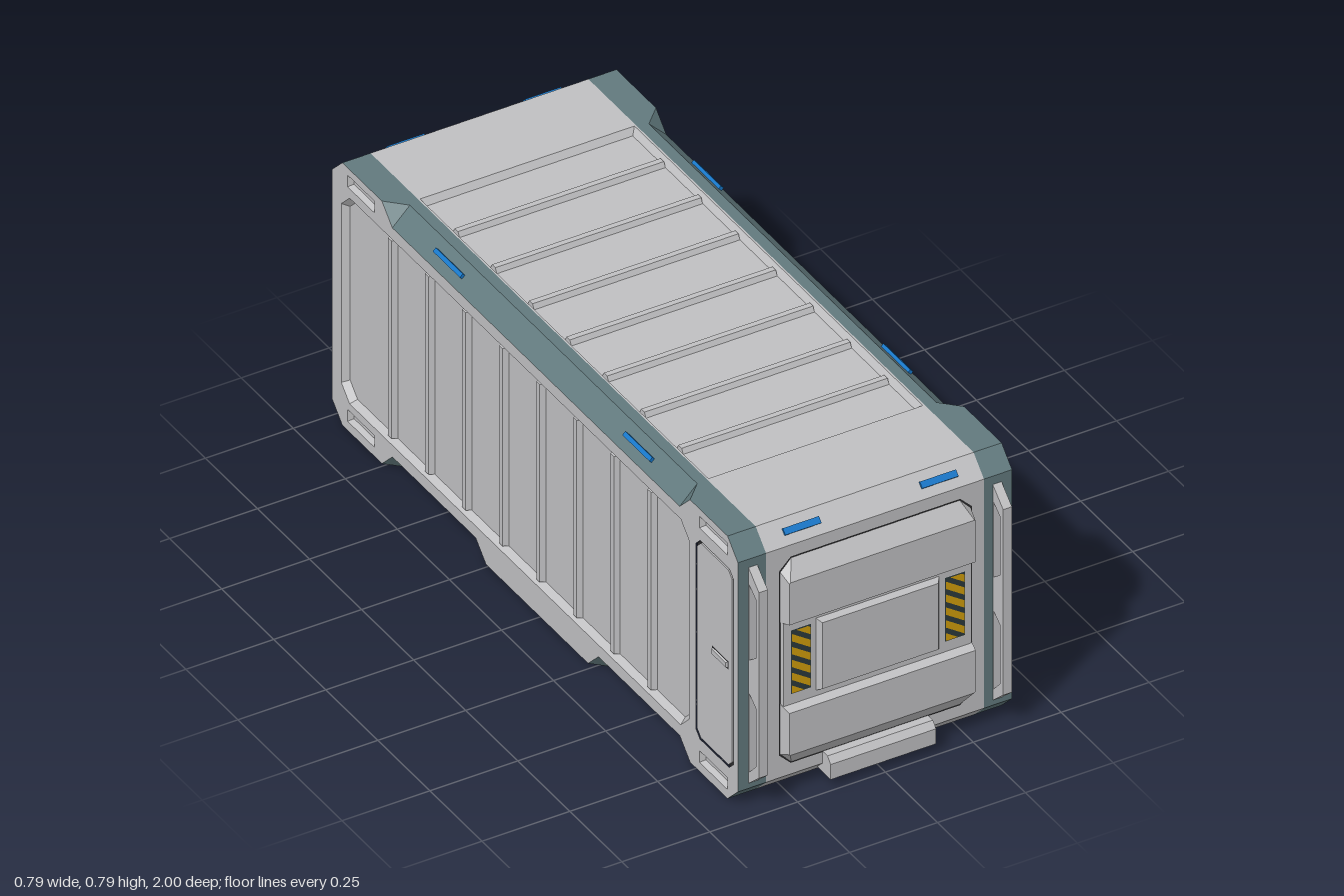
import * as THREE from 'three';

const paint = (name, color) => Object.assign(new THREE.MeshStandardMaterial({ color }), { name });

export function createModel() {
  const grey = paint('light grey hull', 0xc0c0c2);
  const teal = paint('slate teal trim', 0x627a7e);
  const blue = paint('blue lamp', 0x1677c8);
  const yellow = paint('hazard yellow', 0xd29e0a);
  const dark = paint('hazard dark', 0x2c3a3c);
  const seam = paint('seam black', 0x2c2c2e);

  const group = new THREE.Group();
  const W = 0.39, H = 0.785, C = 0.05, F = 0.95, B = -1, P = 0.31;
  const V = (x, y, z) => new THREE.Vector3(x, y, z);

  // Places a flat-shaded part; reverses corners when the frame is mirrored
  function add(name, mat, geo, m = new THREE.Matrix4()) {
    const g = geo.index ? geo.toNonIndexed() : geo;
    g.applyMatrix4(m);
    if (m.determinant() < 0) {
      const p = g.attributes.position;
      for (let i = 0; i < p.count; i += 3) {
        const a = V().fromBufferAttribute(p, i + 1), b = V().fromBufferAttribute(p, i + 2);
        p.setXYZ(i + 1, b.x, b.y, b.z);
        p.setXYZ(i + 2, a.x, a.y, a.z);
      }
    }
    g.computeVertexNormals();
    const mesh = new THREE.Mesh(g, mat);
    mesh.name = name;
    group.add(mesh);
  }
  // Frames: u, v on the face, n pointing out of it
  const frame = (u, v, n, pos) => new THREE.Matrix4().makeBasis(u, v, n).setPosition(pos);
  const X = V(1, 0, 0), Y = V(0, 1, 0), Z = V(0, 0, 1);
  const front = frame(X, Y, Z, V(0, 0, F));
  const rear = frame(X, Y, V(0, 0, -1), V(0, 0, B));
  const top = frame(X, Z, Y, V(0, H, 0));
  const base = frame(X, Z, V(0, -1, 0), V(0, 0, 0));
  const side = s => frame(Z, Y, V(s, 0, 0), V(s * W, 0, 0));

  const shape = (pts, holes = []) => {
    const s = new THREE.Shape(pts.map(p => new THREE.Vector2(...p)));
    s.holes = holes.map(h => new THREE.Path(h.map(p => new THREE.Vector2(...p))));
    return s;
  };
  const face = (name, mat, m, pts, holes, d = 0) =>
    add(name, mat, new THREE.ShapeGeometry(shape(pts, holes)).translate(0, 0, d), m);
  // Rectangle with cut corners, counter-clockwise
  const rect = (u0, u1, v0, v1, c = 0) => c
    ? [[u0 + c, v0], [u1 - c, v0], [u1, v0 + c], [u1, v1 - c], [u1 - c, v1], [u0 + c, v1], [u0, v1 - c], [u0, v0 + c]]
    : [[u0, v0], [u1, v0], [u1, v1], [u0, v1]];

  // Sloped walls from loop a to loop b, closed by a cap on b
  function loft(name, mat, m, a, da, b, db) {
    const out = [], n = a.length;
    for (let i = 0; i < n; i++) {
      const j = (i + 1) % n;
      const q = [[...a[i], da], [...a[j], da], [...b[j], db], [...b[i], db]];
      for (const k of [0, 1, 2, 0, 2, 3]) out.push(...q[k]);
    }
    for (let i = 1; i < n - 1; i++) for (const k of [0, i, i + 1]) out.push(...b[k], db);
    const g = new THREE.BufferGeometry();
    g.setAttribute('position', new THREE.Float32BufferAttribute(out, 3));
    add(name, mat, g, m);
  }
  // Convex polygon turned to face the given direction
  function poly(name, mat, pts, dir) {
    const v = pts.map(p => V(...p));
    const n = v[1].clone().sub(v[0]).cross(v[2].clone().sub(v[0]));
    if (n.dot(V(...dir)) < 0) v.reverse();
    const out = [];
    for (let i = 1; i < v.length - 1; i++) out.push(v[0], v[i], v[i + 1]);
    add(name, mat, new THREE.BufferGeometry().setFromPoints(out));
  }
  // Sunken panel with raised ribs across it
  function panel(name, m, r, c, depth, ribs, alongV) {
    const [u0, u1, v0, v1] = r, i = 0.012;
    loft(name, grey, m, rect(...r, c), 0, rect(u0 + i, u1 - i, v0 + i, v1 - i, c && c - 0.004), -depth);
    for (const t of ribs) {
      const bar = w => alongV ? rect(t - w, t + w, v0 + i, v1 - i) : rect(u0 + i, u1 - i, t - w, t + w);
      loft(name + 'Rib', grey, m, bar(0.015), -depth, bar(0.008), -0.004);
    }
    return rect(...r, c);
  }

  // Long side walls
  const topCut = [-0.71, 0.67], baseCuts = [[0.28, 0.67], [-0.71, -0.31]];
  const wall = [[F, C], [F - C, 0], [0.72, 0], [0.67, C], [0.28, C], [0.23, 0], [-0.26, 0], [-0.31, C], [-0.71, C],
    [-0.76, 0], [B + C, 0], [B, C], [B, H - C], [B + C, H], [-0.76, H], [-0.71, H - C], [0.67, H - C], [0.72, H], [F - C, H], [F, H - C]];
  for (const s of [1, -1]) {
    const m = side(s), holes = [];
    const ribs = Array.from({ length: 8 }, (_, i) => 0.517 - i * 0.178);
    holes.push(panel('sidePanel', m, [-0.955, 0.715, 0.085, 0.7], 0.04, 0.018, ribs, true));
    for (const [z0, z1] of [[0.765, 0.9], [-0.925, -0.795]]) for (const y of [0.027, 0.728]) {
      holes.push(rect(z0, z1, y, y + 0.035));
      loft('cornerSlot', grey, m, rect(z0, z1, y, y + 0.035), 0, rect(z0 + 0.006, z1 - 0.006, y + 0.006, y + 0.029), -0.015);
    }
    // Side hatch set in a dark seam
    const hatch = rect(0.748, 0.928, 0.098, 0.692, 0.02);
    holes.push(hatch);
    face('hatchSeam', seam, m, hatch, [], -0.005);
    const leaf = rect(0.754, 0.922, 0.104, 0.686, 0.018);
    loft('sideHatch', grey, m, leaf, -0.005, leaf, 0);
    face('handleSeam', seam, m, rect(0.828, 0.906, 0.39, 0.414), [], 0.001);
    loft('hatchHandle', grey, m, rect(0.831, 0.903, 0.393, 0.411), 0, rect(0.833, 0.901, 0.395, 0.409), 0.006);
    face('sideWall', grey, m, wall, holes);

    // Bevelled long edges
    for (const [y, k, cuts] of [[H, 1, [topCut]], [0, -1, baseCuts]]) for (const [z0, z1] of cuts) {
      const yo = y - k * C, xo = s * W, xi = s * (W - C);
      poly('edgeBevel', teal, [[xo, yo, z0], [xo, yo, z1], [xi, y, z1], [xi, y, z0]], [s, k, 0]);
      for (const [z, d] of [[z0, -1], [z1, 1]])
        poly('bevelEnd', teal, [[xo, yo, z], [xi, y, z], [xo, y, z + d * C]], [s, k, -d]);
    }
    // Roof trim strips
    face('roofTrim', teal, top, [[P, F - C], [W, F - C], [W, 0.72], [W - C, 0.67], [W - C, -0.71], [W, -0.76], [W, B + C], [P, B + C]]
      .map(([x, z]) => [s * x, z]));
    // End posts
    for (const m2 of [front, rear]) face('cornerPost', teal, m2, rect(Math.min(s * P, s * W), Math.max(s * P, s * W), C, H - C));
    // Grab rail with two openings
    const rail = shape([[F, 0.065], [1, 0.11], [1, 0.665], [F, 0.71]],
      [[0.325, 0.12], [0.65, 0.445]].map(([hi, lo]) => [[0.953, lo === 0.12 ? 0.1 : lo - 0.01], [0.985, lo + 0.015], [0.985, hi - 0.015], [0.953, hi + 0.01]]));
    add('grabRail', grey, new THREE.ExtrudeGeometry(rail, { depth: 0.025, bevelEnabled: false }),
      frame(Z, Y, X, V(s * 0.3475 - 0.0125, 0, 0)));
    // Lamps on the long bevels
    for (const z of [0.435, -0.475])
      add('sideLamp', blue, new THREE.BoxGeometry(0.018, 0.012, 0.13).rotateZ(s * Math.PI / 4).translate(s * 0.365, 0.76, z));
  }

  // Roof and floor
  const roofRibs = Array.from({ length: 7 }, (_, i) => -0.566 + i * 0.179);
  const roofHole = panel('roofPanel', top, [-0.305, 0.305, -0.72, 0.665], 0, 0.018, roofRibs, false);
  face('roof', grey, top, rect(-P, P, B + C, F - C), [roofHole]);
  const half = [[W, B + C], [W, -0.76], [W - C, -0.71], [W - C, -0.31], [W, -0.26], [W, 0.23], [W - C, 0.28], [W - C, 0.67], [W, 0.72], [W, F - C]];
  face('floor', grey, base, [...half, ...half.map(([x, z]) => [-x, z]).reverse()]);

  // End faces, end bevels and end lamps
  face('frontWall', grey, front, rect(-P, P, C, H - C));
  const rearHole = panel('rearPanel', rear, [-0.275, 0.275, 0.085, 0.7], 0.04, 0.018, [-0.09, 0.09], true);
  face('rearWall', grey, rear, rect(-P, P, C, H - C), [rearHole]);
  for (const [z, d] of [[F, 1], [B, -1]]) {
    for (const [y, k] of [[H, 1], [0, -1]])
      for (const [x0, x1, mat] of [[-W, -P, teal], [-P, P, grey], [P, W, teal]])
        poly('endBevel', mat, [[x0, y - k * C, z], [x1, y - k * C, z], [x1, y, z - d * C], [x0, y, z - d * C]], [0, k, d]);
    for (const x of [-0.195, 0.195])
      add('endLamp', blue, new THREE.BoxGeometry(0.103, 0.012, 0.018).rotateX(d * -Math.PI / 4 + Math.PI / 2).translate(x, 0.76, z - d * 0.025));
  }

  // Front door: seam, recessed middle, upper and lower raised sections
  face('doorSeam', seam, front, rect(-0.275, 0.275, 0.085, 0.702, 0.034), [], 0.002);
  loft('doorMiddle', grey, front, rect(-0.27, 0.27, 0.25, 0.54), 0, rect(-0.267, 0.267, 0.25, 0.54), 0.012);
  const upA = [[-0.271, 0.515], [0.271, 0.515], [0.271, 0.665], [0.24, 0.698], [-0.24, 0.698], [-0.271, 0.665]];
  const upB = [[-0.265, 0.525], [0.265, 0.525], [0.265, 0.648], [0.262, 0.651], [-0.262, 0.651], [-0.265, 0.648]];
  loft('doorUpper', grey, front, upA, 0.002, upB, 0.036);
  const flip = pts => pts.map(([x, y]) => [x, 0.786 - y]).reverse();
  loft('doorLower', grey, front, flip(upA), 0.002, flip(upB), 0.036);
  loft('doorPlate', grey, front, rect(-0.175, 0.175, 0.285, 0.5), 0.012, rect(-0.165, 0.165, 0.293, 0.491), 0.026);

  // Hazard plates with slanted stripes
  for (const x of [-0.2475, 0.1905]) {
    const w = 0.057, y0 = 0.3, y1 = 0.49, drop = 0.036;
    face('hazardPlate', dark, front, rect(x, x + w, y0, y1), [], 0.014);
    for (let i = 0; i < 6; i++) {
      const lo = y0 + 0.004 + i * 0.0385, hi = lo + 0.022, n = 12;
      const edge = c => Array.from({ length: n + 1 }, (_, k) => [x + 0.002 + (w - 0.004) * k / n,
        Math.min(y1 - 0.002, Math.max(y0 + 0.002, c - drop * k / n))]);
      face('hazardStripe', yellow, front, [...edge(lo), ...edge(hi).reverse()], [], 0.016);
    }
  }

  // Door step
  const step = shape([[0.92, 0.025], [0.99, 0.025], [0.99, 0.07], [0.975, 0.087], [0.94, 0.087]]);
  add('doorStep', grey, new THREE.ExtrudeGeometry(step, { depth: 0.3, bevelEnabled: false }), frame(Z, Y, X, V(-0.15, 0, 0)));

  return group;
}
